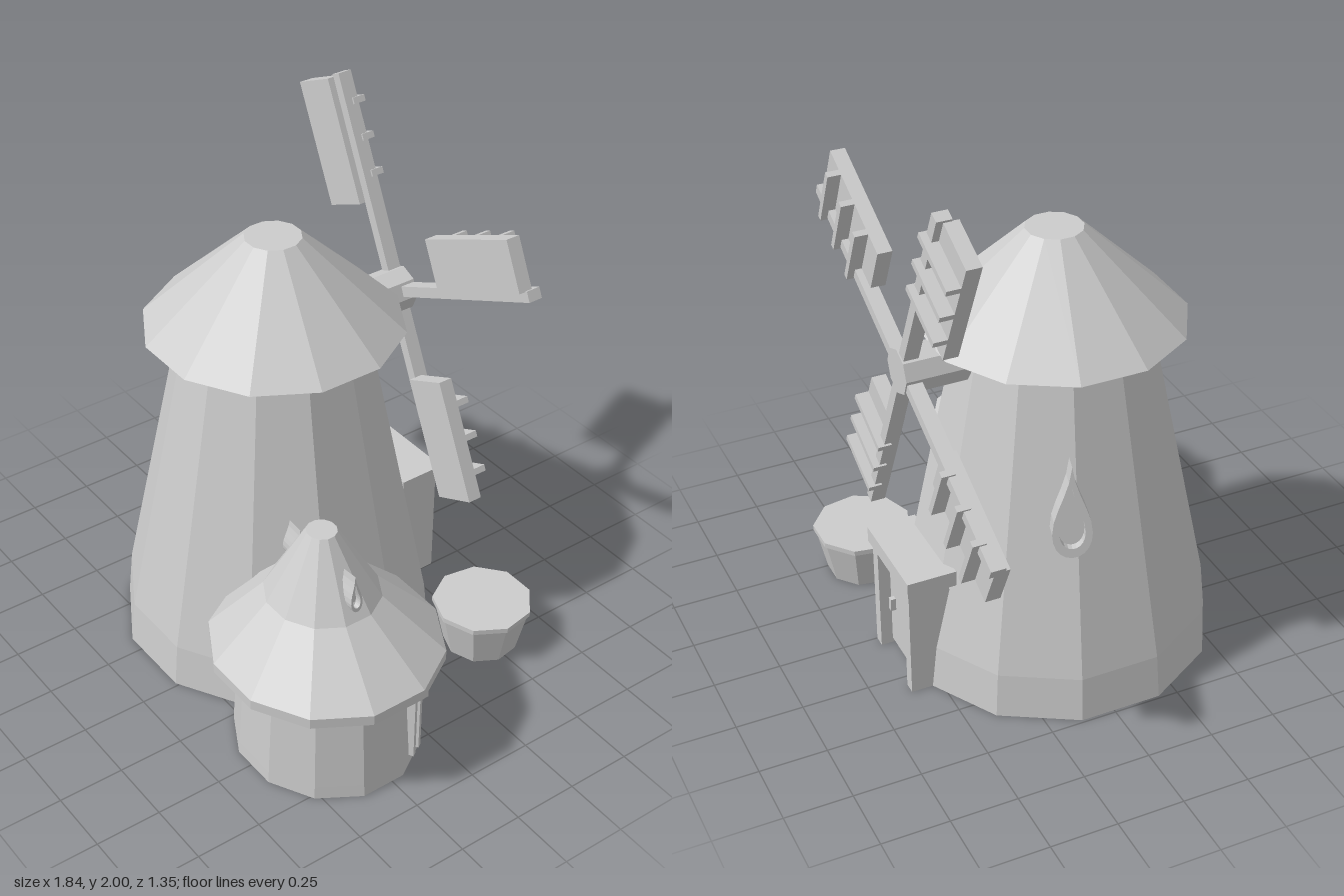
import * as THREE from 'three';

const stone = new THREE.MeshStandardMaterial({ color: 0xcccccc, flatShading: true, side: THREE.DoubleSide });
stone.name = 'light grey';

function add(parent, name, geometry, x = 0, y = 0, z = 0) {
  const mesh = new THREE.Mesh(geometry, stone);
  mesh.name = name;
  mesh.position.set(x, y, z);
  parent.add(mesh);
  return mesh;
}

function group(parent, name, x = 0, y = 0, z = 0, turn = 0) {
  const g = new THREE.Group();
  g.name = name;
  g.position.set(x, y, z);
  g.rotation.y = turn;
  parent.add(g);
  return g;
}

// Box given by its minimum and maximum corners
function box(parent, name, a, b) {
  const size = b.map((v, i) => v - a[i]);
  return add(parent, name, new THREE.BoxGeometry(...size), ...a.map((v, i) => (v + b[i]) / 2));
}

// Faceted turned form; radii are measured to the middle of each flat side
function turned(parent, name, profile, x, z, sides = 12, depthScale = 1) {
  const k = 1 / Math.cos(Math.PI / sides);
  const points = profile.map(([r, y]) => new THREE.Vector2(r * k, y));
  const geometry = new THREE.LatheGeometry(points, sides, Math.PI / sides);
  geometry.scale(1, 1, depthScale);
  return add(parent, name, geometry, x, 0, z);
}

// Doorway facing -z: two posts, lintel, recessed door and a handle
function doorway(parent, name, x, w, h, zIn, zOut, zDoor, lintel) {
  const g = group(parent, name, x);
  const post = 0.045;
  for (const s of [-1, 1]) {
    const edges = [s * w, s * (w - post)].sort((a, b) => a - b);
    box(g, 'doorPost', [edges[0], 0, zOut], [edges[1], h, zIn]);
  }
  box(g, 'lintel', [-w - 0.02, h, zOut - 0.01], [w + 0.02, h + lintel, zIn + 0.02]);
  box(g, 'door', [-w + post, 0.02, zDoor], [w - post, h, zDoor + 0.03]);
  box(g, 'doorHandle', [w * 0.45, h * 0.42, zDoor - 0.02], [w * 0.45 + 0.02, h * 0.42 + 0.05, zDoor]);
  return g;
}

// Teardrop outline standing on its round end
function teardrop(target, w, h) {
  target.moveTo(0, h);
  target.bezierCurveTo(w * 0.15, h * 0.7, w, h * 0.5, w, h * 0.27);
  target.bezierCurveTo(w, h * 0.1, w * 0.55, 0, 0, 0);
  target.bezierCurveTo(-w * 0.55, 0, -w, h * 0.1, -w, h * 0.27);
  target.bezierCurveTo(-w, h * 0.5, -w * 0.15, h * 0.7, 0, h);
  return target;
}

// Teardrop window frame facing local +z, with a pane inside
function dropWindow(parent, name, w, h, depth, y, z) {
  const frame = teardrop(new THREE.Shape(), w, h);
  const inner = teardrop(new THREE.Path(), w * 0.65, h * 0.68);
  const hole = new THREE.Path(inner.getPoints(5).map((p) => new THREE.Vector2(p.x, p.y + h * 0.1)));
  frame.holes.push(hole);
  const g = group(parent, name, 0, y, z);
  g.rotation.x = -0.1;
  add(g, 'windowFrame', new THREE.ExtrudeGeometry(frame, { depth, bevelEnabled: false, curveSegments: 5 }));
  const pane = teardrop(new THREE.Shape(), w * 0.7, h * 0.72);
  add(g, 'windowPane', new THREE.ShapeGeometry(pane, 5), 0, h * 0.09, depth * 0.6);
}

export function createModel() {
  const model = new THREE.Group();
  model.name = 'windmill';

  // Main tower and its roof
  const tx = -0.167, tz = 0.027;
  turned(model, 'tower', [[0.572, 0], [0.556, 0.17], [0.34, 1.26]], tx, tz);
  turned(model, 'towerRoof', [[0.335, 1.255], [0.46, 1.32], [0.1, 1.67], [0, 1.67]], tx, tz);
  const towerSide = group(model, 'towerSide', tx, 0, tz, Math.atan2(-0.95, -0.31));
  dropWindow(towerSide, 'towerWindow', 0.07, 0.35, 0.08, 0.65, 0.43);
  doorway(model, 'towerDoorway', -0.17, 0.17, 0.44, -0.46, -0.615, -0.57, 0.06);

  // Small round hut with a bell-shaped roof
  const hx = 0.497, hz = 0.277;
  turned(model, 'hutWall', [[0.345, 0], [0.342, 0.05], [0.318, 0.41]], 0.512, 0.287, 12, 0.93);
  turned(model, 'hutRoofEaves', [[0.31, 0.4], [0.42, 0.4], [0.42, 0.44]], hx, hz, 12, 0.96);
  const roof = turned(model, 'hutRoof', [[0.42, 0.44], [0.208, 0.64], [0.055, 0.9], [0, 0.9]], hx, hz, 12, 0.96);
  // lean the peak slightly toward the tower
  const p = roof.geometry.attributes.position;
  for (let i = 0; i < p.count; i++) {
    if (p.getY(i) > 0.5) p.setX(i, p.getX(i) - (p.getY(i) > 0.8 ? 0.032 : 0.025));
  }
  for (const s of [-1, 1]) {
    const side = group(model, 'hutRoofSide', 0.468, 0, 0.277, s * Math.PI / 2);
    dropWindow(side, 'hutRoofWindow', 0.024, 0.145, 0.065, 0.67, 0.14);
  }
  doorway(model, 'hutDoorway', 0.47, 0.125, 0.36, 0.02, -0.125, -0.07, 0.04);

  // Tall slit window on the hut
  const slit = group(model, 'hutSlitWindow', 0.512, 0, 0.287, Math.PI * 2 / 3);
  box(slit, 'slitPane', [-0.03, 0.05, 0.29], [0.03, 0.4, 0.335]);
  for (const s of [-1, 1]) {
    add(slit, 'slitBar', new THREE.BoxGeometry(0.02, 0.36, 0.06), s * 0.024, 0.22, 0.325);
  }

  // Tub beside the tower
  const tub = new THREE.LatheGeometry([[0.142, 0], [0.182, 0.175], [0.19, 0.175], [0.19, 0.195], [0, 0.195]]
    .map(([r, y]) => new THREE.Vector2(r, y)), 9);
  add(model, 'tub', tub, 0.455, 0, -0.49);

  // Axle and four sails, each with a one-sided panel and rear battens
  const rotor = group(model, 'rotor', -0.17, 1.25, 0);
  const axle = new THREE.CylinderGeometry(0.085, 0.085, 0.27, 8);
  axle.rotateX(Math.PI / 2);
  add(rotor, 'axle', axle, 0, 0, -0.425);
  for (let i = 0; i < 4; i++) {
    const sail = group(rotor, 'sail');
    sail.rotation.z = THREE.MathUtils.degToRad(25.5 + 90 * i);
    box(sail, 'sailArm', [0, -0.022, -0.555], [0.82, 0.018, -0.5]);
    box(sail, 'sailPanel', [0.34, 0.016, -0.53], [0.81, 0.207, -0.475]);
    for (const r of [0.44, 0.575, 0.71]) {
      box(sail, 'sailBatten', [r - 0.012, -0.03, -0.58], [r + 0.012, 0.207, -0.53]);
    }
  }
  return model;
}
